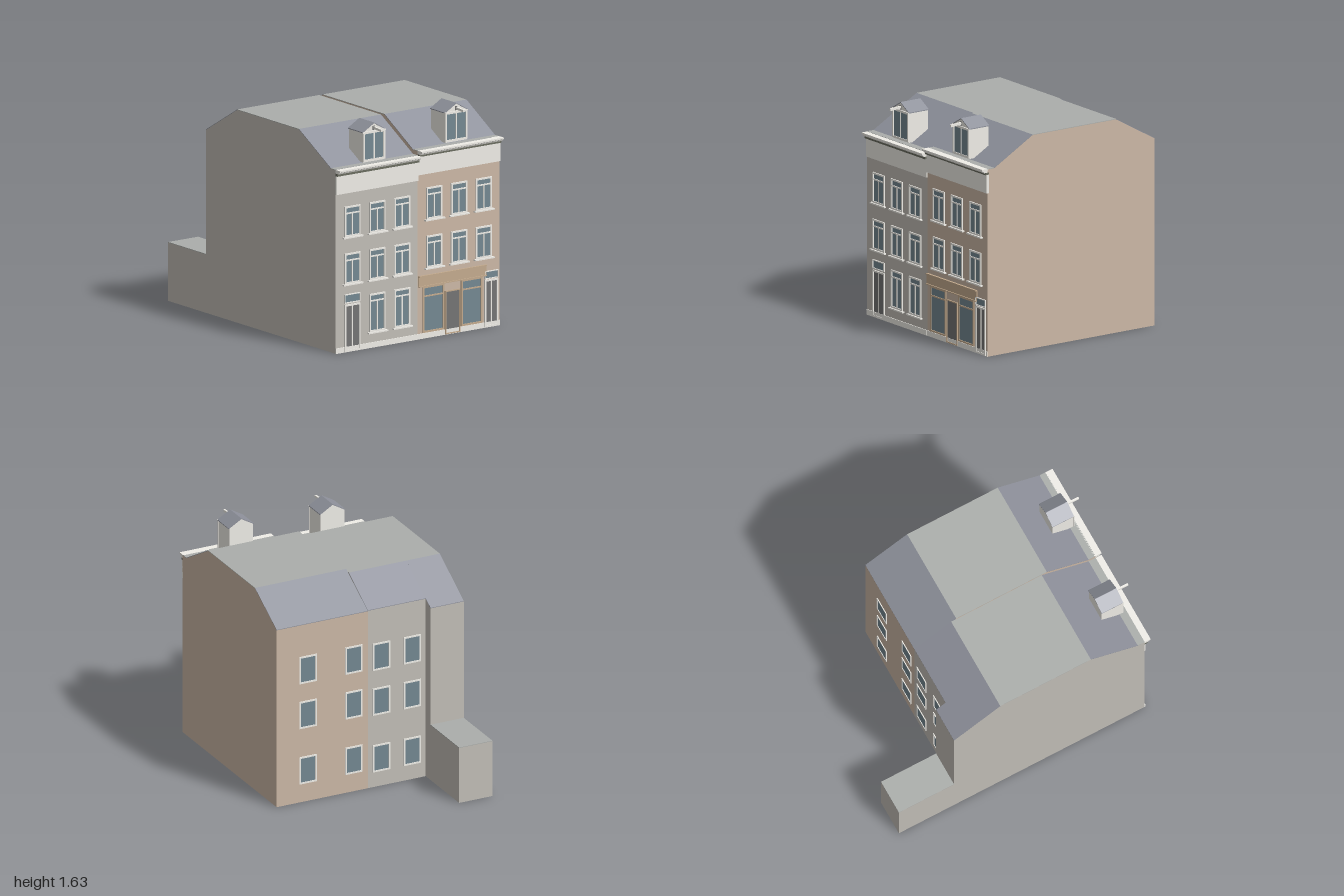
import * as THREE from 'three';

const mat = (color) => new THREE.MeshStandardMaterial({ color, flatShading: true });
const M = {
  greyWall: mat(0xc2beb7), brownWall: mat(0xccb8a6), trim: mat(0xf0eee8), glass: mat(0x748892),
  door: mat(0x747474), slope: mat(0x8f929c), flat: mat(0xabaeab), shop: mat(0xc4ab8e), gutter: mat(0x6b6d60),
};
const FRONT = 0.94;

function add(parent, name, geometry, material) {
  const m = new THREE.Mesh(geometry, material);
  m.name = name;
  parent.add(m);
  return m;
}

// Box given by its limits
function box(parent, name, material, x0, x1, y0, y1, z0, z1) {
  const m = add(parent, name, new THREE.BoxGeometry(x1 - x0, y1 - y0, z1 - z0), material);
  m.position.set((x0 + x1) / 2, (y0 + y1) / 2, (z0 + z1) / 2);
  return m;
}

// Side profile of [z, y] points, swept from x0 to x1
function sweep(parent, name, material, points, x0, x1) {
  const shape = new THREE.Shape(points.map(([z, y]) => new THREE.Vector2(z, y)));
  const g = new THREE.ExtrudeGeometry(shape, { depth: x1 - x0, bevelEnabled: false });
  g.rotateY(-Math.PI / 2).translate(x1, 0, 0);
  return add(parent, name, g, material);
}

// Rectangular ring facing +z, back at z = 0
function ring(parent, name, material, w, h, t, depth) {
  const rect = (C, a, b) => new C([[-a, -b], [a, -b], [a, b], [-a, b]].map((p) => new THREE.Vector2(...p)));
  const s = rect(THREE.Shape, w / 2, h / 2);
  s.holes.push(rect(THREE.Path, w / 2 - t, h / 2 - t));
  return add(parent, name, new THREE.ExtrudeGeometry(s, { depth, bevelEnabled: false }), material);
}

// Glazed window with optional transom bar, mullion and sill
function windowUnit(parent, x, y0, y1, w, o = {}) {
  const { frame = M.trim, transom = 0, mullion = true, sill = true, pane = M.glass, name = 'window', t = 0.012 } = o;
  const g = new THREE.Group();
  g.name = name;
  g.position.set(x, (y0 + y1) / 2, FRONT);
  parent.add(g);
  const h = y1 - y0, top = h / 2 - transom;
  ring(g, 'frame', frame, w, h, t, 0.009);
  box(g, 'pane', pane, -w / 2 + t, w / 2 - t, -h / 2 + t, h / 2 - t, -0.005, 0.002);
  if (transom) box(g, 'transomBar', frame, -w / 2 + t, w / 2 - t, top - 0.005, top + 0.005, 0, 0.008);
  if (mullion) box(g, 'mullion', frame, -0.005, 0.005, -h / 2 + t, transom ? top : h / 2 - t, 0, 0.006);
  if (sill) box(g, 'sill', M.trim, -w / 2 - 0.015, w / 2 + 0.015, -h / 2 - 0.01, -h / 2, 0, 0.02);
  return g;
}

// Thin roof coverings laid on each segment of the roof line
function roofCover(parent, line, x0, x1) {
  for (let i = 0; i < line.length - 1; i++) {
    const [a, b] = [line[i], line[i + 1]];
    const level = Math.abs(a[1] - b[1]) < 1e-6;
    sweep(parent, level ? 'flatRoof' : 'roofSlope', level ? M.flat : M.slope,
      [a, [a[0], a[1] + 0.004], [b[0], b[1] + 0.004], b].reverse(), x0, x1);
  }
}

// Walls with the roof on top
function shell(parent, wall, line, x0, x1) {
  const back = line[line.length - 1][0];
  sweep(parent, 'walls', wall, [[back, 0], [FRONT, 0], ...line], x0, x1);
  roofCover(parent, line, x0, x1);
}

// Frieze, gutter band and stepped cornice; top is the eave height
function cornice(parent, x0, x1, top, friezeBottom, bandBottom) {
  box(parent, 'frieze', M.trim, x0, x1, friezeBottom, bandBottom, FRONT - 0.01, FRONT + 0.008);
  box(parent, 'gutterBand', M.gutter, x0, x1, bandBottom, top - 0.024, FRONT - 0.01, FRONT + 0.02);
  sweep(parent, 'cornice', M.trim, [[FRONT - 0.01, top - 0.025], [0.97, top - 0.025],
    [0.975, top - 0.015], [0.987, top - 0.01], [0.987, top + 0.002], [FRONT - 0.01, top + 0.002]], x0, x1);
}

// Gabled dormer with a two-light window and a hoisting beam
function dormer(parent, x, y) {
  const g = new THREE.Group();
  g.name = 'dormer';
  g.position.set(x, y, 0);
  parent.add(g);
  const s = new THREE.Shape([[-0.092, 0], [0.092, 0], [0.092, 0.215], [0, 0.268], [-0.092, 0.215]]
    .map((p) => new THREE.Vector2(...p)));
  const body = new THREE.ExtrudeGeometry(s, { depth: 0.165, bevelEnabled: false }).translate(0, 0, 0.742);
  add(g, 'dormerBody', body, M.trim);
  for (const side of [-1, 1]) {
    const pts = [[0, 0.268], [0, 0.274], [side * 0.098, 0.217], [side * 0.098, 0.211]];
    const roof = new THREE.Shape(pts.map((p) => new THREE.Vector2(...p)));
    add(g, 'dormerRoof', new THREE.ExtrudeGeometry(roof, { depth: 0.17, bevelEnabled: false }).translate(0, 0, 0.74), M.slope);
    box(g, 'dormerPane', M.glass, side > 0 ? 0.005 : -0.08, side > 0 ? 0.08 : -0.005, 0.015, 0.205, 0.9, 0.909);
  }
  ring(g, 'dormerFrame', M.trim, 0.19, 0.21, 0.014, 0.008).position.set(0, 0.11, 0.906);
  box(g, 'dormerMullion', M.trim, -0.005, 0.005, 0.01, 0.21, 0.905, 0.913);
  box(g, 'dormerLintel', M.trim, -0.098, 0.098, 0.208, 0.217, 0.9, 0.916);
  const beam = box(g, 'hoistBeam', M.trim, -0.007, 0.007, 0.227, 0.243, 0.9, 1.0);
  beam.rotation.x = 0.06;
  box(g, 'beamSocket', M.door, -0.009, 0.009, 0.222, 0.25, 0.9, 0.912);
}

// Row of windows on the rear wall
function rearWindows(parent, xs, ys) {
  for (const x of xs) for (const y of ys) {
    const g = new THREE.Group();
    g.name = 'rearWindow';
    g.position.set(x, y, -0.49);
    g.rotation.y = Math.PI;
    parent.add(g);
    ring(g, 'frame', M.trim, 0.135, 0.205, 0.012, 0.006);
    box(g, 'pane', M.glass, -0.056, 0.056, -0.091, 0.091, -0.004, 0.002);
  }
}

function greyHouse() {
  const g = new THREE.Group();
  g.name = 'greyHouse';
  const front = [[FRONT, 1.308], [0.885, 1.308], [0.515, 1.516], [-0.2, 1.516]];
  shell(g, M.greyWall, [...front, [-0.49, 1.345]], -0.45, 0);
  shell(g, M.greyWall, [...front, [-0.565, 1.302]], -0.708, -0.45);
  // Low rear annex
  box(g, 'annex', M.greyWall, -0.708, -0.45, 0, 0.416, -1, -0.56);
  box(g, 'annexRoof', M.flat, -0.708, -0.45, 0.416, 0.42, -1, -0.565);
  cornice(g, -0.708, 0, 1.308, 1.132, 1.265);
  box(g, 'plinth', M.trim, -0.708, 0, 0, 0.038, FRONT - 0.01, FRONT + 0.006);
  const xs = [-0.567, -0.352, -0.138];
  for (const x of xs) {
    windowUnit(g, x, 0.82, 1.037, 0.137, { transom: 0.05 });
    windowUnit(g, x, 0.485, 0.702, 0.137, { transom: 0.05 });
  }
  for (const x of xs.slice(1)) windowUnit(g, x, 0.113, 0.384, 0.137, { transom: 0.05 });
  // Front door and its fanlight
  windowUnit(g, xs[0], 0.004, 0.338, 0.137, { pane: M.door, sill: false, name: 'frontDoor' });
  windowUnit(g, xs[0], 0.347, 0.412, 0.137, { mullion: false, sill: false, t: 0.007, name: 'fanlight' });
  rearWindows(g, [-0.345, -0.105], [0.985, 0.645, 0.215]);
  dormer(g, -0.355, 1.318);
  return g;
}

function brownHouse() {
  const g = new THREE.Group();
  g.name = 'brownHouse';
  shell(g, M.brownWall, [[FRONT, 1.341], [0.885, 1.341], [0.555, 1.528], [-0.16, 1.528], [-0.49, 1.341]], 0, 0.708);
  cornice(g, 0, 0.708, 1.343, 1.17, 1.303);
  box(g, 'plinth', M.trim, 0, 0.708, 0, 0.038, FRONT - 0.01, FRONT + 0.004);
  for (const x of [0.14, 0.353, 0.567]) {
    windowUnit(g, x, 0.845, 1.072, 0.137, { transom: 0.05 });
    windowUnit(g, x, 0.5, 0.727, 0.137, { transom: 0.05 });
  }
  // Shop front: fascia board, ledge, display windows and door
  box(g, 'shopFascia', M.shop, 0.002, 0.588, 0.375, 0.448, FRONT - 0.01, FRONT + 0.008);
  box(g, 'shopFasciaCap', M.shop, 0.002, 0.588, 0.442, 0.45, FRONT - 0.01, FRONT + 0.016);
  box(g, 'shopLedge', M.shop, 0.002, 0.588, 0.37, 0.377, FRONT - 0.01, FRONT + 0.016);
  for (const x of [0.132, 0.462])
    windowUnit(g, x, 0.042, 0.37, 0.182, { frame: M.shop, transom: 0.07, mullion: false, sill: false, name: 'shopWindow' });
  windowUnit(g, 0.297, 0.004, 0.312, 0.13, { frame: M.shop, pane: M.door, mullion: false, sill: false, t: 0.008, name: 'shopDoor' });
  // Narrow house door and its fanlight
  windowUnit(g, 0.633, 0.004, 0.34, 0.117, { pane: M.door, sill: false, name: 'houseDoor' });
  windowUnit(g, 0.633, 0.345, 0.402, 0.117, { mullion: false, sill: false, t: 0.006, name: 'fanlight' });
  rearWindows(g, [0.11, 0.465], [1.0, 0.66, 0.24]);
  dormer(g, 0.355, 1.355);
  return g;
}

export function createModel() {
  const model = new THREE.Group();
  model.name = 'terracedHouses';
  model.add(greyHouse(), brownHouse());
  return model;
}
